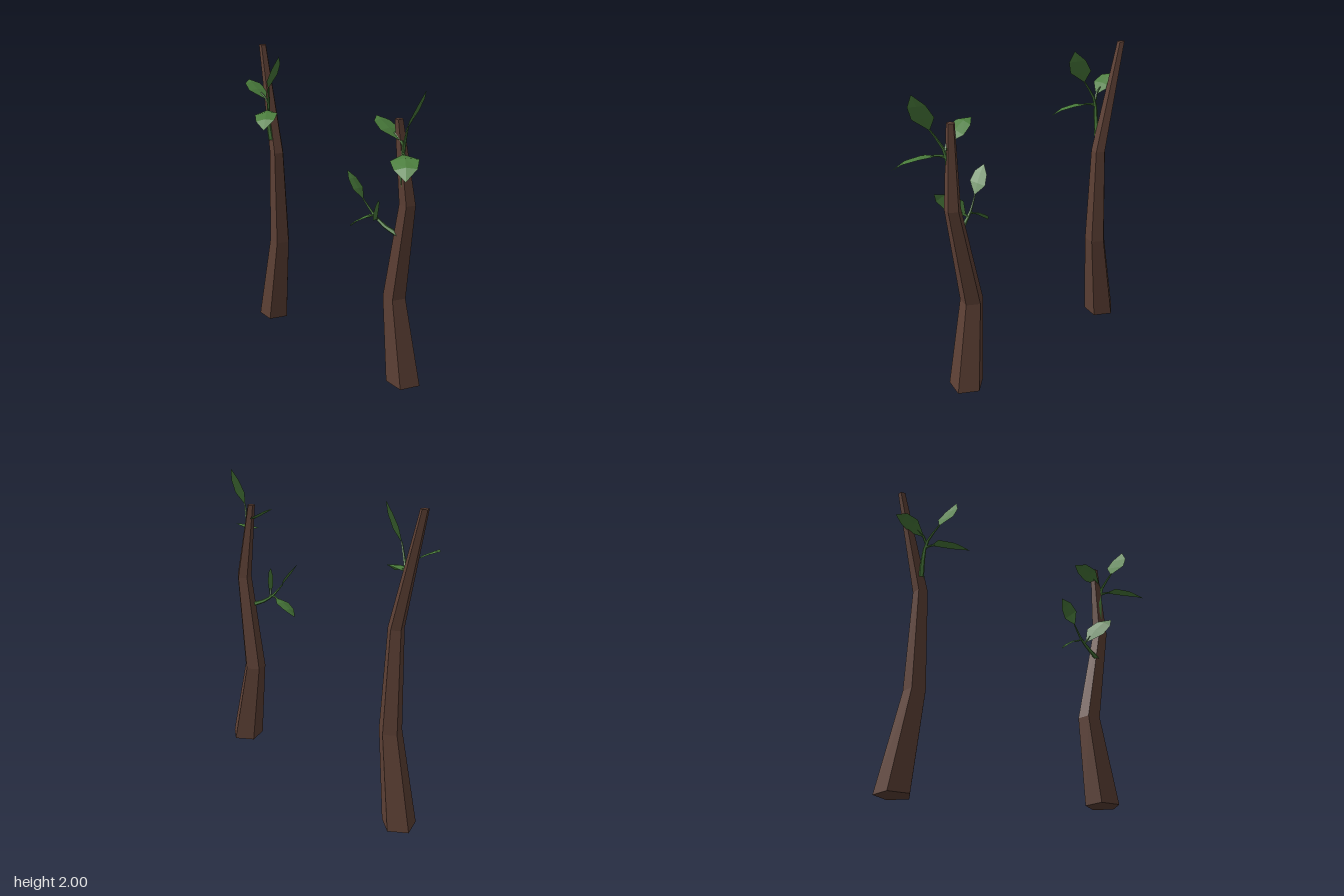
import * as THREE from 'three';

const bark = new THREE.MeshStandardMaterial({ color: 0x5d4035, flatShading: true });
const green = new THREE.MeshStandardMaterial({ color: 0x4a7c3c, flatShading: true, side: THREE.DoubleSide });
const V = (p) => new THREE.Vector3(...p);

function add(group, name, geometry, material) {
  const mesh = new THREE.Mesh(geometry, material);
  mesh.name = name;
  group.add(mesh);
}

// Five-sided trunk: each ring is [x, y, z, radius], from bottom to top
function trunk(rings) {
  const n = rings.length - 1;
  const g = new THREE.CylinderGeometry(1, 1, 1, 5, n).rotateY(Math.PI);
  const p = g.attributes.position;
  for (let i = 0; i < p.count; i++) {
    const [x, y, z, r] = rings[Math.round((p.getY(i) + 0.5) * n)];
    p.setXYZ(i, x + p.getX(i) * r, y, z + p.getZ(i) * r);
  }
  return g;
}

// Stem tapering along a curve
function stem(points, r0, r1) {
  const curve = new THREE.CatmullRomCurve3(points.map(V));
  const segs = 6, sides = 5;
  const g = new THREE.TubeGeometry(curve, segs, 1, sides);
  const p = g.attributes.position, v = new THREE.Vector3();
  for (let i = 0; i < p.count; i++) {
    const t = Math.floor(i / (sides + 1)) / segs;
    const c = curve.getPointAt(t);
    v.fromBufferAttribute(p, i).sub(c).multiplyScalar(r0 + (r1 - r0) * t).add(c);
    p.setXYZ(i, v.x, v.y, v.z);
  }
  return g;
}

// Leaf folded along its rib: base, tip, half-width vector, and rib arch
function leaf(base, tip, half, arch) {
  const a = V(base), b = V(tip), w = V(half), h = V(arch);
  const pts = [a];
  for (const [t, k] of [[0.36, 1], [0.7, 0.8]]) {
    const rib = a.clone().lerp(b, t).add(h);
    for (const s of [-1, 0, 1]) {
      pts.push(rib.clone().addScaledVector(w, s * k).addScaledVector(h, s ? -0.35 : 0));
    }
  }
  pts.push(b);
  const g = new THREE.BufferGeometry().setFromPoints(pts);
  g.setIndex([0, 2, 1, 0, 3, 2, 1, 2, 5, 1, 5, 4, 2, 3, 6, 2, 6, 5, 4, 5, 7, 5, 6, 7]);
  g.computeVertexNormals();
  return g;
}

function sprig(name, stems, leaves) {
  const group = new THREE.Group();
  group.name = name;
  for (const s of stems) add(group, 'stem', stem(...s), green);
  for (const l of leaves) add(group, 'leaf', leaf(...l), green);
  return group;
}

// Upright sprig with three leaves, used on both trunks
const upperSprig = (name) => sprig(name, [
  [[[-0.675, 1.38, -0.015], [-0.677, 1.5, 0.0], [-0.66, 1.63, 0.005], [-0.595, 1.76, 0.045]], 0.018, 0.005],
  [[[-0.665, 1.63, 0.0], [-0.69, 1.67, 0.01], [-0.73, 1.7, 0.015]], 0.01, 0.005],
  [[[-0.67, 1.59, 0.0], [-0.65, 1.598, 0.02], [-0.61, 1.605, 0.045]], 0.01, 0.005],
], [
  [[-0.68, 1.66, 0.01], [-0.88, 1.768, 0.015], [0, 0.006, 0.07], [-0.01, 0.022, 0.014]],
  [[-0.6, 1.75, 0.045], [-0.48, 1.975, 0.035], [0.028, -0.014, 0.062], [0.004, -0.004, 0]],
  [[-0.64, 1.598, 0.03], [-0.44, 1.525, 0.195], [0.066, 0.012, -0.045], [0.006, 0.035, 0]],
]);

export function createModel() {
  const model = new THREE.Group();
  model.name = 'twoTrunks';

  // Trunks
  add(model, 'rightTrunk', trunk([
    [-0.745, 0, -0.053, 0.111], [-0.653, 0.63, -0.058, 0.073],
    [-0.658, 1.29, -0.052, 0.05], [-0.824, 2, -0.07, 0.025],
  ]), bark);
  add(model, 'leftTrunk', trunk([
    [0.643, 0.1, -0.083, 0.111], [0.557, 0.665, -0.063, 0.073],
    [0.659, 1.29, -0.042, 0.05], [0.61, 1.777, 0, 0.025],
  ]), bark);

  // Matching upper sprigs
  model.add(upperSprig('rightUpperSprig'));
  const copy = upperSprig('leftUpperSprig');
  copy.position.x = 1.32;
  model.add(copy);

  // Side sprig on the left trunk
  model.add(sprig('sideSprig', [
    [[[0.62, 1.09, -0.02], [0.53, 1.13, 0.015], [0.455, 1.187, 0.035], [0.39, 1.27, 0.06]], 0.016, 0.004],
    [[[0.485, 1.165, 0.028], [0.495, 1.18, 0.045], [0.51, 1.21, 0.06]], 0.008, 0.004],
    [[[0.46, 1.185, 0.035], [0.43, 1.165, 0.04], [0.4, 1.15, 0.045]], 0.008, 0.004],
  ], [
    [[0.395, 1.265, 0.06], [0.28, 1.423, 0.09], [0.014, 0.008, 0.05], [0.006, 0.006, 0]],
    [[0.44, 1.172, 0.04], [0.283, 1.063, 0.065], [0, -0.012, 0.055], [-0.004, 0.016, 0]],
    [[0.49, 1.165, 0.035], [0.617, 1.308, 0.165], [0.03, -0.034, 0.05], [0.0, 0.03, 0.004]],
  ]));

  return model;
}
